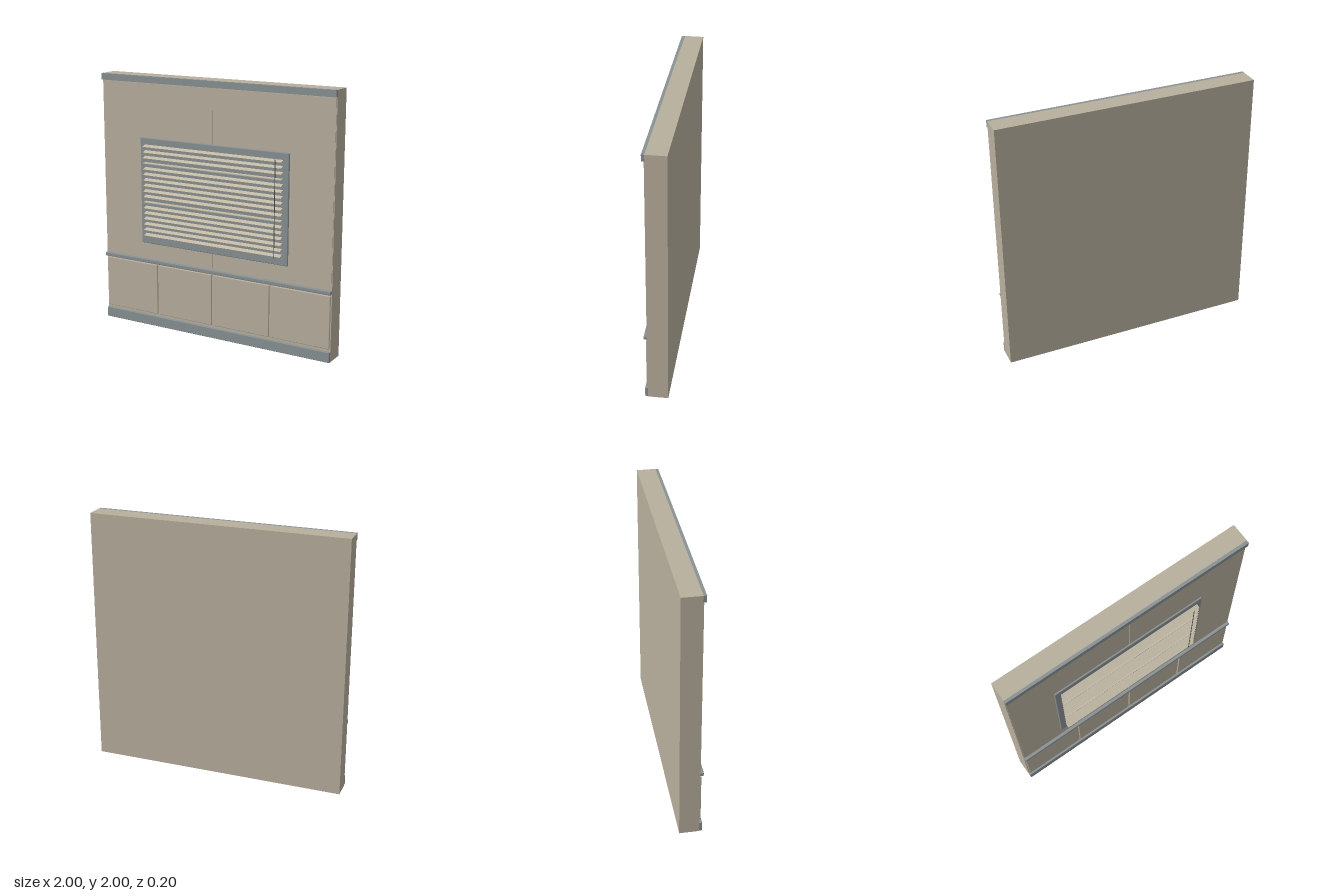
import * as THREE from 'three';
import { RoundedBoxGeometry } from 'three/addons/geometries/RoundedBoxGeometry.js';

const mat = (name, color) => {
  const m = new THREE.MeshStandardMaterial({ color });
  m.name = name;
  return m;
};

export function createModel() {
  const group = new THREE.Group();
  const wallPaint = mat('warm beige', 0xb8af9d);
  const trimPaint = mat('blue grey', 0x899194);
  const slatPaint = mat('pale beige', 0xc2b9a5);
  const cordPaint = mat('dark cord', 0x55544e);

  // Box given by its limits, with optional softened edges
  const block = (name, material, [x0, x1], [y0, y1], [z0, z1], bevel = 0) => {
    const size = [x1 - x0, y1 - y0, z1 - z0];
    const geo = bevel ? new RoundedBoxGeometry(...size, 1, bevel) : new THREE.BoxGeometry(...size);
    const mesh = new THREE.Mesh(geo, material);
    mesh.name = name;
    mesh.position.set((x0 + x1) / 2, (y0 + y1) / 2, (z0 + z1) / 2);
    group.add(mesh);
    return mesh;
  };

  // Wall slab and the two thin upper panels with a seam between them
  block('wall', wallPaint, [-1, 1], [0, 2], [-0.1, 0.048]);
  for (const s of [-1, 1]) {
    block('upperPanel', wallPaint, [s * 0.5 - 0.495, s * 0.5 + 0.495], [0.56, 1.945], [0.04, 0.053]);
  }

  // Horizontal trim
  block('baseboard', trimPaint, [-1, 1], [0, 0.08], [0.045, 0.07], 0.004);
  block('chairRail', trimPaint, [-1, 1], [0.52, 0.55], [0.045, 0.075], 0.006);
  block('crownTrim', trimPaint, [-1, 1], [1.95, 2], [0.045, 0.07]);

  // Four lower panels
  for (let i = 0; i < 4; i++) {
    const x = -0.75 + i * 0.5;
    block('lowerPanel', wallPaint, [x - 0.243, x + 0.243], [0.1, 0.51], [0.044, 0.06], 0.006);
  }

  // Window backing plate
  block('windowFrame', trimPaint, [-0.645, 0.645], [0.68, 1.525], [0.045, 0.065], 0.007);

  // Blind slats, front edge tipped down; every seventh lies almost level
  for (let i = 0; i < 17; i++) {
    const y = 1.463 - i * 0.0442;
    const slat = block('blindSlat', slatPaint, [-0.6, 0.6], [y - 0.003, y + 0.003], [0.065, 0.1]);
    slat.rotation.x = i % 7 === 3 ? 0.08 : 0.42;
  }

  // Pull cord
  const cord = new THREE.Mesh(new THREE.CylinderGeometry(0.003, 0.003, 0.74, 6), cordPaint);
  cord.name = 'blindCord';
  cord.position.set(0.55, 1.105, 0.1);
  group.add(cord);

  return group;
}
